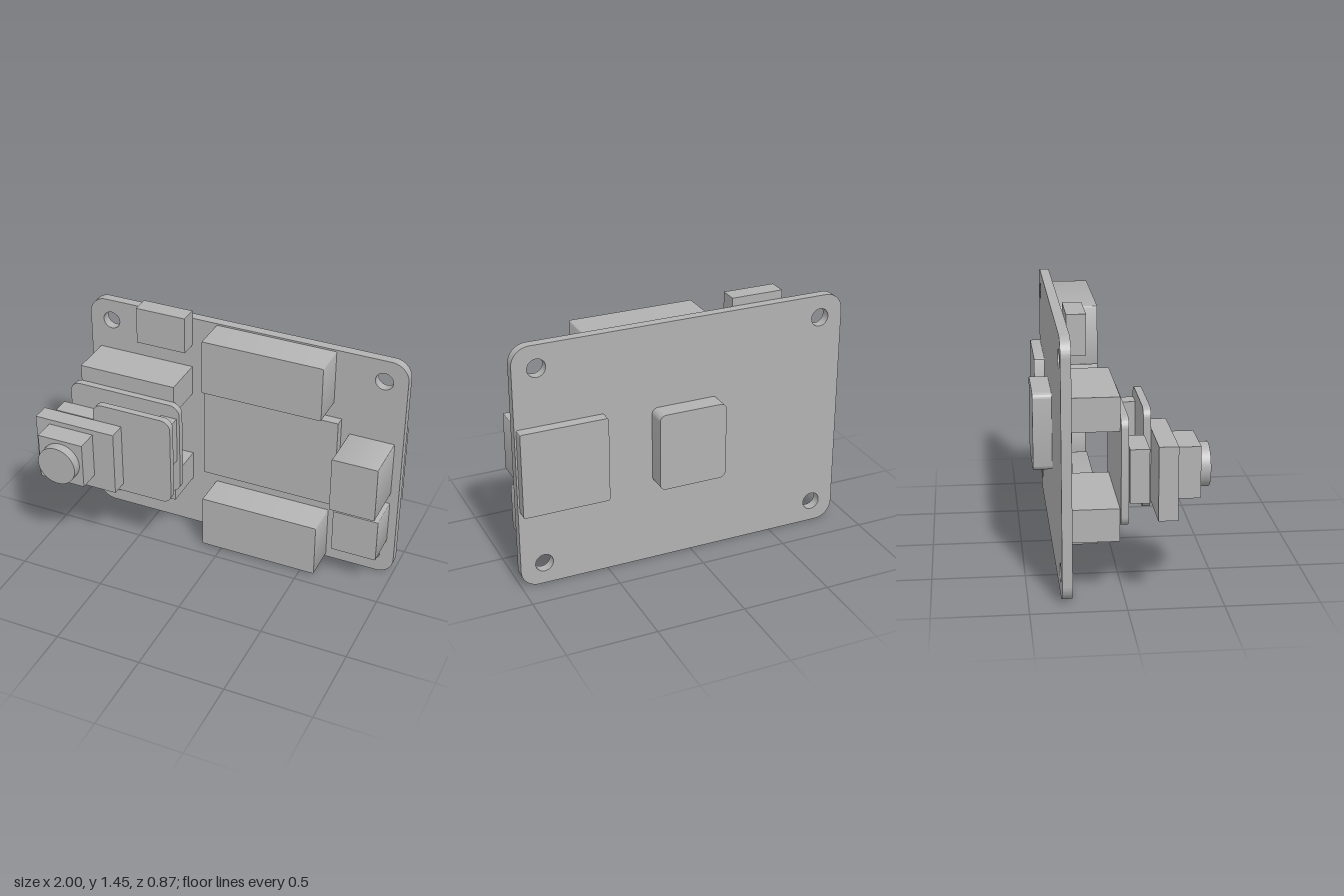
import * as THREE from 'three';
import { toCreasedNormals } from 'three/addons/utils/BufferGeometryUtils.js';

const grey = new THREE.MeshStandardMaterial({ color: 0xb2b2b2 });
grey.name = 'plain grey';

// Rectangle with rounded corners in the XY plane
function roundedRect(x0, x1, y0, y1, r) {
  const s = new THREE.Shape();
  s.absarc(x1 - r, y0 + r, r, -Math.PI / 2, 0);
  s.absarc(x1 - r, y1 - r, r, 0, Math.PI / 2);
  s.absarc(x0 + r, y1 - r, r, Math.PI / 2, Math.PI);
  s.absarc(x0 + r, y0 + r, r, Math.PI, Math.PI * 1.5);
  s.closePath();
  return s;
}

export function createModel() {
  const model = new THREE.Group();
  model.name = 'cameraBoard';

  function add(name, geometry) {
    const mesh = new THREE.Mesh(geometry, grey);
    mesh.name = name;
    model.add(mesh);
    return mesh;
  }

  // Block between two corners, square or with rounded corners seen from the front
  function block(name, [x0, x1], [y0, y1], [z0, z1], r = 0, holes = []) {
    if (!r) {
      const mesh = add(name, new THREE.BoxGeometry(x1 - x0, y1 - y0, z1 - z0));
      mesh.position.set((x0 + x1) / 2, (y0 + y1) / 2, (z0 + z1) / 2);
      return;
    }
    const shape = roundedRect(x0, x1, y0, y1, r);
    for (const [x, y, radius] of holes) {
      shape.holes.push(new THREE.Path().absarc(x, y, radius, 0, Math.PI * 2, true));
    }
    const geo = new THREE.ExtrudeGeometry(shape, { depth: z1 - z0, bevelEnabled: false, curveSegments: 12 });
    add(name, toCreasedNormals(geo, 0.6)).position.z = z0;
  }

  // Main board with four mounting holes
  const front = -0.273, back = -0.327;
  const holes = [];
  for (const x of [-0.772, 0.866]) for (const y of [0.125, 1.272]) holes.push([x, y, 0.051]);
  block('mainBoard', [-0.905, 1], [0, 1.4], [back, front], 0.1, holes);

  // Components on the front
  block('upperHeader', [-0.117, 0.59], [1.065, 1.39], [front, -0.072], 0.007);
  block('lowerHeader', [-0.117, 0.59], [0.013, 0.337], [front, -0.072], 0.007);
  block('mainChip', [-0.167, 0.64], [0.422, 0.975], [front, -0.217]);
  block('tallConnector', [0.688, 0.952], [0.557, 0.89], [front, 0.003], 0.005);
  block('shortConnector', [0.688, 0.952], [0.23, 0.492], [front, -0.072], 0.005);
  block('topConnector', [-0.56, -0.263], [1.23, 1.447], [front, -0.17]);

  // Components on the back
  block('rearChip', [-0.16, 0.23], [0.475, 0.92], [-0.433, back], 0.035);
  block('rearSocket', [0.502, 0.99], [0.457, 0.945], [-0.388, back], 0.012);

  // Raised camera: rails, carrier plate, spacers and sensor plate
  block('upperRail', [-0.848, -0.266], [0.907, 1.087], [front, -0.025]);
  block('lowerRail', [-0.848, -0.266], [0.317, 0.495], [front, -0.025]);
  block('carrierPlate', [-0.9, -0.215], [0.41, 0.99], [-0.025, 0.014], 0.06);
  block('leftSpacer', [-0.33, -0.232], [0.632, 0.91], [0.014, 0.114]);
  block('rightSpacer', [-0.95, -0.712], [0.557, 0.842], [0.014, 0.114]);
  block('sensorPlate', [-0.685, -0.207], [0.427, 0.973], [0.112, 0.152], 0.055);

  // Lens assembly
  block('lensBase', [-1, -0.51], [0.477, 0.867], [0.152, 0.252]);
  block('lensHousing', [-0.915, -0.64], [0.563, 0.837], [0.252, 0.378]);
  const lens = add('lens', new THREE.CylinderGeometry(0.116, 0.116, 0.055, 48));
  lens.rotation.x = Math.PI / 2;
  lens.position.set(-0.777, 0.7, 0.4055);

  return model;
}
